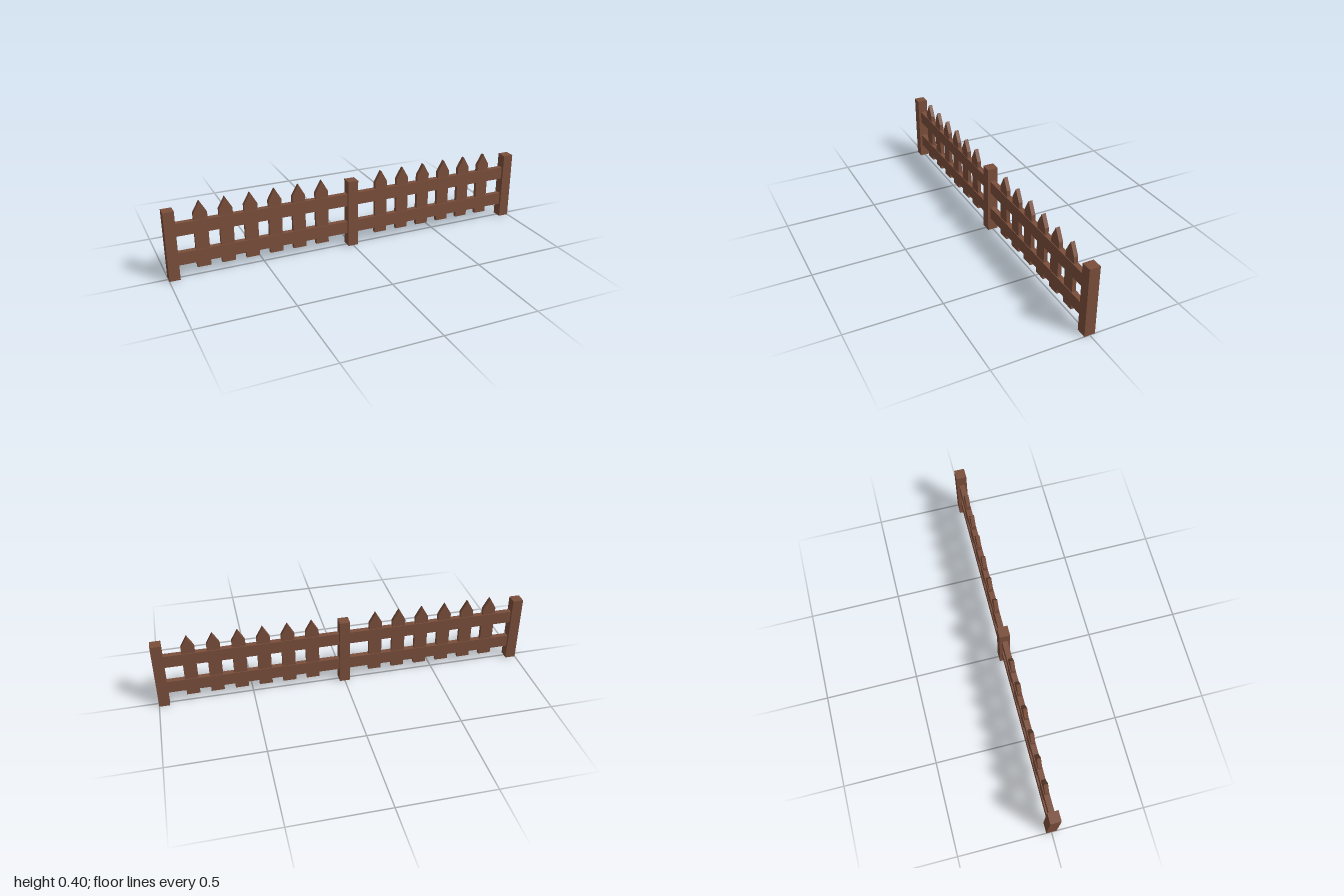
import * as THREE from 'three';

export function createModel() {
  const fence = new THREE.Group();
  fence.name = 'picketFence';
  const wood = new THREE.MeshStandardMaterial({ color: 0x7a4e3b });
  wood.name = 'brown wood';

  const add = (name, geometry, x, y) => {
    const mesh = new THREE.Mesh(geometry, wood);
    mesh.name = name;
    mesh.position.set(x, y, 0);
    fence.add(mesh);
  };

  // Square posts at both ends and in the middle
  const postW = 0.056, postH = 0.373;
  const postGeo = new THREE.BoxGeometry(postW, postH, postW);
  for (const x of [-1 + postW / 2, 0, 1 - postW / 2]) add('post', postGeo, x, postH / 2);

  // Pointed picket, extruded and centred in depth
  const half = 0.035, depth = 0.021;
  const outline = new THREE.Shape([
    [-half, 0.042], [half, 0.042], [half, 0.336], [0, 0.398], [-half, 0.336],
  ].map(([x, y]) => new THREE.Vector2(x, y)));
  const picketGeo = new THREE.ExtrudeGeometry(outline, { depth, bevelEnabled: false });
  picketGeo.translate(0, 0, -depth / 2);

  // Each side carries two rails and six pickets
  const railLength = 1 - 1.5 * postW;
  const railGeo = new THREE.BoxGeometry(railLength, 0.068, 0.029);
  for (const side of [-1, 1]) {
    add('lowerRail', railGeo, side * (postW / 2 + railLength / 2), 0.107);
    add('upperRail', railGeo, side * (postW / 2 + railLength / 2), 0.266);
    for (let i = 0; i < 6; i++) add('picket', picketGeo, side * (0.172 + i * 0.1286), 0);
  }
  return fence;
}
